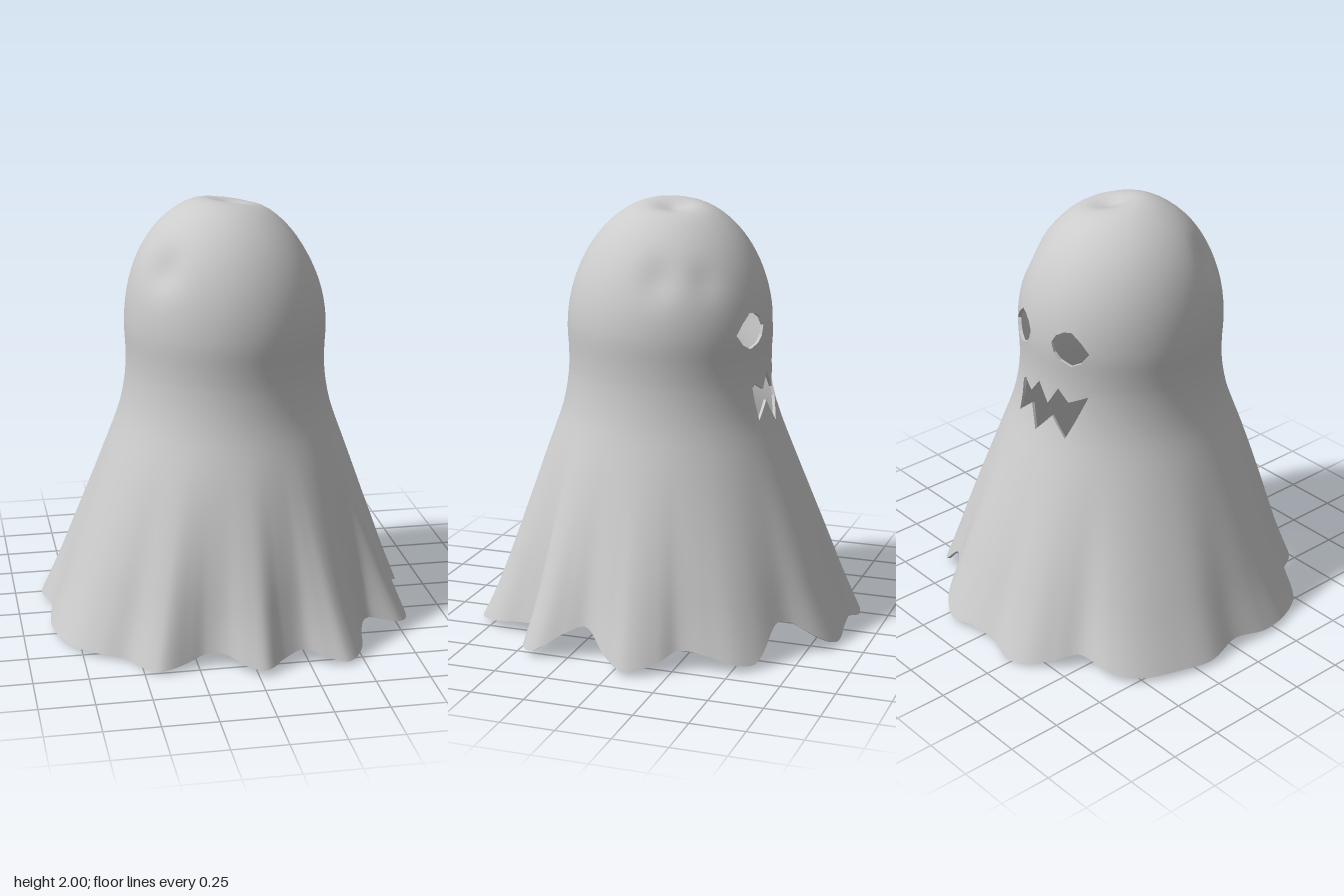
import * as THREE from 'three';
import { mergeVertices } from 'three/addons/utils/BufferGeometryUtils.js';

const THICKNESS = 0.014;
const COLUMNS = 360;

// Hem outline, one point per fold: x, z, height
const hem = [
  [0.87, -0.07, 0.015], [0.83, 0.03, 0.05], [0.74, 0.16, 0.15], [0.76, 0.27, 0.11], [0.8, 0.4, 0.03],
  [0.74, 0.475, 0.03], [0.6, 0.47, 0.06], [0.54, 0.57, 0.05], [0.5, 0.73, 0.025], [0.42, 0.82, 0.015],
  [0.33, 0.8, 0.03], [0.23, 0.755, 0.06], [0.13, 0.79, 0.04], [0.04, 0.86, 0.025], [-0.04, 0.83, 0.03],
  [-0.13, 0.745, 0.06], [-0.22, 0.715, 0.055], [-0.3, 0.735, 0.03], [-0.42, 0.765, 0.01], [-0.48, 0.73, 0.005],
  [-0.56, 0.61, 0.01], [-0.68, 0.54, 0.015], [-0.78, 0.45, 0.015], [-0.85, 0.3, 0.02], [-0.865, 0.18, 0.02],
  [-0.845, 0, 0.045], [-0.875, -0.18, 0.02], [-0.84, -0.33, 0.02], [-0.75, -0.53, 0.02], [-0.65, -0.61, 0.04],
  [-0.5, -0.65, 0.07], [-0.42, -0.74, 0.04], [-0.33, -0.83, 0.01], [-0.22, -0.865, 0], [-0.1, -0.845, 0.03],
  [0.05, -0.86, 0.04], [0.2, -0.865, 0.015], [0.3, -0.81, 0.06], [0.38, -0.69, 0.15], [0.45, -0.64, 0.16],
  [0.6, -0.6, 0.03], [0.67, -0.52, 0.03], [0.7, -0.4, 0.07], [0.73, -0.27, 0.09], [0.8, -0.2, 0.05],
].map(([x, z, y]) => ({ a: THREE.MathUtils.radToDeg(Math.atan2(x, -z)), r: Math.hypot(x, z), y }))
  .sort((p, q) => p.a - q.a);
const around = (key) => [-360, 0, 360].flatMap((turn) => hem.map((p) => [p.a + turn, p[key]]));
const hemRadius = around('r'), hemHeight = around('y');

// Body radius by height, up to the start of the dome
const profile = [[-0.2, 0.905], [0, 0.84], [0.2, 0.775], [0.4, 0.715], [0.6, 0.65], [0.8, 0.58],
  [1, 0.507], [1.1, 0.483], [1.2, 0.47], [1.3, 0.469], [1.4, 0.474], [1.5, 0.47]];

// Lower and upper edges of the openings: degrees from the face centre, height
const mouthLow = [[-180, 1.2], [-32, 1.215], [-20, 1], [-10, 1.085], [0, 0.99], [7, 1.095], [18, 1.02], [20, 1.17], [180, 1.2]];
const mouthHigh = [[-180, 1.2], [-32, 1.215], [-20, 1.17], [-13, 1.225], [-6, 1.135], [2, 1.22], [9, 1.15], [17, 1.185], [20, 1.17], [180, 1.2]];
const eyeEdge = (edge) => [[-180, 1.44], ...edge.map(([a, y]) => [-a, y]).reverse(), ...edge, [180, 1.44]];
const eyeLow = eyeEdge([[9, 1.45], [11, 1.405], [15, 1.375], [22, 1.355], [28, 1.38], [33, 1.43]]);
const eyeHigh = eyeEdge([[9, 1.45], [12, 1.49], [17, 1.515], [22, 1.52], [28, 1.48], [33, 1.43]]);

// Dents pressed into the cloth: centre, radius, depth
const dents = [
  [0.03, 2, -0.01, 0.1, 0.055], [-0.31, 1.72, 0.26, 0.09, 0.03],
  [0.4, 1.7, -0.06, 0.09, 0.022], [0.33, 1.7, -0.27, 0.08, 0.015],
];

function segment(table, x) {
  let i = 0;
  while (i < table.length - 2 && x > table[i + 1][0]) i++;
  return i;
}

function linear(table, x) {
  const i = segment(table, x), [x0, y0] = table[i], [x1, y1] = table[i + 1];
  return y0 + (y1 - y0) * (x - x0) / (x1 - x0);
}

// Smooth (Hermite) interpolation through a table
function smooth(table, x) {
  const i = segment(table, x), [x0, y0] = table[i], [x1, y1] = table[i + 1];
  const slope = (k) => {
    const a = table[Math.max(k - 1, 0)], b = table[Math.min(k + 1, table.length - 1)];
    return (b[1] - a[1]) / (b[0] - a[0]);
  };
  const h = x1 - x0, t = (x - x0) / h, t2 = t * t, t3 = t2 * t;
  return (2 * t3 - 3 * t2 + 1) * y0 + (t3 - 2 * t2 + t) * h * slope(i)
    + (3 * t2 - 2 * t3) * y1 + (t3 - t2) * h * slope(i + 1);
}

const DOME_START = 1.4, DOME_TOP = 2.008;
function bodyRadius(y) {
  if (y <= DOME_START) return smooth(profile, y);
  const t = (y - DOME_START) / (DOME_TOP - DOME_START);
  return 0.474 * Math.sqrt(Math.max(0, 1 - t * t));
}

// Point on the cloth at a heading (degrees from the face centre) and height
function clothPoint(deg, y) {
  const foot = smooth(hemHeight, deg);
  const fold = Math.max(0, (1 - y) / (1 - foot)) ** 2;
  const r = bodyRadius(y) + (smooth(hemRadius, deg) - bodyRadius(foot)) * fold;
  const rise = THREE.MathUtils.smoothstep(y, 0.05, 0.9);
  const lean = THREE.MathUtils.smoothstep(y, 1.4, 2);
  const a = THREE.MathUtils.degToRad(deg);
  const p = new THREE.Vector3(
    r * Math.sin(a) * (1 - 0.015 * rise) - 0.005 * rise - 0.02 * lean, y,
    -r * Math.cos(a) * (1 + 0.015 * rise) + 0.022 * rise);
  for (const [x, dy, z, radius, depth] of dents) {
    const centre = new THREE.Vector3(x, dy, z);
    const push = depth * Math.exp(-p.distanceToSquared(centre) / (radius * radius));
    p.addScaledVector(centre.set(0, 1.4, 0).sub(p).normalize(), push);
  }
  return p;
}

// Outer cloth: three bands of quads that part at the mouth and at the eyes
function buildOuter() {
  const bands = [
    { rows: 20, low: (a) => smooth(hemHeight, a), high: (a) => linear(mouthLow, a) },
    { rows: 6, low: (a) => linear(mouthHigh, a), high: (a) => linear(eyeLow, a) },
    { rows: 20, low: (a) => linear(eyeHigh, a), high: () => DOME_TOP, ease: (t) => Math.sin(t * Math.PI / 2) },
  ];
  const positions = [], index = [];
  for (const { rows, low, high, ease = (t) => t } of bands) {
    const start = positions.length / 3;
    for (let i = 0; i < COLUMNS; i++) {
      const deg = i * 360 / COLUMNS - 180, y0 = low(deg), y1 = high(deg);
      for (let j = 0; j <= rows; j++) {
        const y = j === 0 ? y0 : j === rows ? y1 : y0 + (y1 - y0) * ease(j / rows);
        positions.push(...clothPoint(deg, y).toArray());
      }
    }
    for (let i = 0; i < COLUMNS; i++) {
      for (let j = 0; j < rows; j++) {
        const a = start + i * (rows + 1) + j, b = start + ((i + 1) % COLUMNS) * (rows + 1) + j;
        index.push(a, b + 1, b, a, a + 1, b + 1);
      }
    }
  }
  let geometry = new THREE.BufferGeometry();
  geometry.setAttribute('position', new THREE.Float32BufferAttribute(positions, 3));
  geometry.setIndex(index);
  geometry = mergeVertices(geometry, 1e-5);
  const kept = [], ids = geometry.index.array;
  for (let k = 0; k < ids.length; k += 3) {
    const [a, b, c] = [ids[k], ids[k + 1], ids[k + 2]];
    if (a !== b && b !== c && c !== a) kept.push(a, b, c);
  }
  geometry.setIndex(kept);
  geometry.computeVertexNormals();
  return geometry;
}

// Inner cloth: the outer one pushed in along its normals and turned over
function buildInner(outer) {
  const inner = outer.clone(), p = inner.attributes.position, n = inner.attributes.normal;
  for (let i = 0; i < p.count; i++) {
    p.setXYZ(i, p.getX(i) - n.getX(i) * THICKNESS, p.getY(i) - n.getY(i) * THICKNESS * 0.5, p.getZ(i) - n.getZ(i) * THICKNESS);
  }
  inner.setIndex(Array.from(outer.index.array).reverse());
  inner.computeVertexNormals();
  return inner;
}

// Rims: join both layers along every open edge
function buildRims(outer, inner) {
  const ids = outer.index.array, edges = new Map(), positions = [];
  for (let k = 0; k < ids.length; k += 3) {
    for (let e = 0; e < 3; e++) {
      const a = ids[k + e], b = ids[k + (e + 1) % 3];
      if (!edges.delete(`${b},${a}`)) edges.set(`${a},${b}`, [a, b]);
    }
  }
  const put = (g, i) => positions.push(...new THREE.Vector3().fromBufferAttribute(g.attributes.position, i).toArray());
  for (const [a, b] of edges.values()) {
    [[outer, b], [outer, a], [inner, a], [outer, b], [inner, a], [inner, b]].forEach(([g, i]) => put(g, i));
  }
  const geometry = new THREE.BufferGeometry();
  geometry.setAttribute('position', new THREE.Float32BufferAttribute(positions, 3));
  geometry.computeVertexNormals();
  return geometry;
}

export function createModel() {
  const group = new THREE.Group();
  group.name = 'ghost';
  const material = new THREE.MeshStandardMaterial({ color: 0xcccccc });
  const outer = buildOuter(), inner = buildInner(outer);
  const parts = { outerCloth: outer, innerCloth: inner, clothRims: buildRims(outer, inner) };
  for (const [name, geometry] of Object.entries(parts)) {
    const mesh = new THREE.Mesh(geometry, material);
    mesh.name = name;
    group.add(mesh);
  }
  return group;
}
